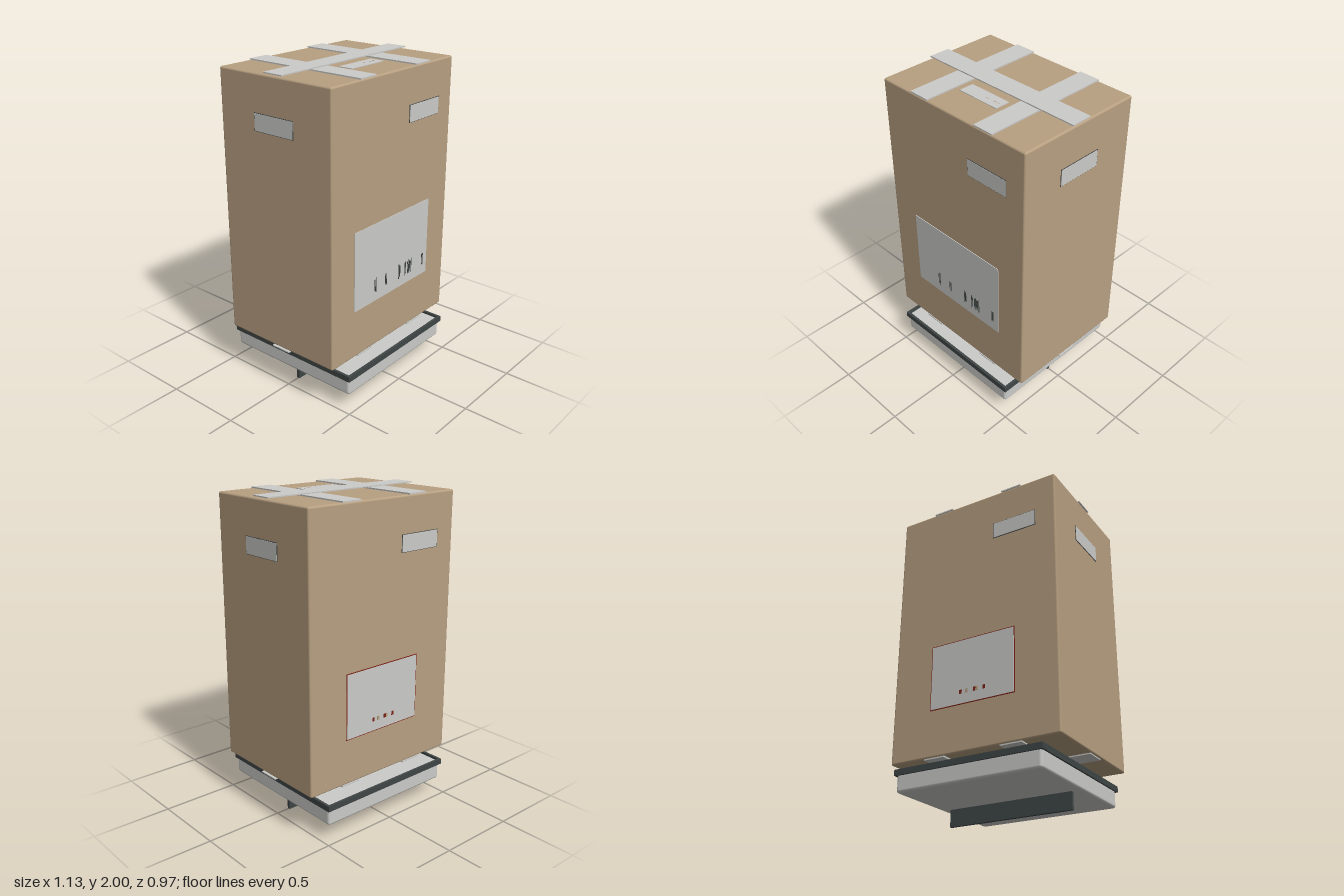
import * as THREE from 'three';
import { RoundedBoxGeometry } from 'three/addons/geometries/RoundedBoxGeometry.js';

const material = (name, color) => {
  const m = new THREE.MeshStandardMaterial({ color });
  m.name = name;
  return m;
};

export function createModel() {
  const group = new THREE.Group();
  const cardboard = material('cardboard', 0xb8a081);
  const paper = material('paper grey', 0xcbcbc9);
  const dark = material('charcoal', 0x3f4645);
  const red = material('dark red', 0x7d2015);

  const add = (parent, name, geometry, mat, x = 0, y = 0, z = 0) => {
    const mesh = new THREE.Mesh(geometry, mat);
    mesh.name = name;
    mesh.position.set(x, y, z);
    parent.add(mesh);
    return mesh;
  };
  const box = (parent, name, mat, w, h, d, x, y, z) =>
    add(parent, name, new THREE.BoxGeometry(w, h, d), mat, x, y, z);

  // Carton
  const W = 1.126, D = 0.842, BOTTOM = 0.298, TOP = 1.985;
  add(group, 'carton', new RoundedBoxGeometry(W, TOP - BOTTOM, D, 3, 0.012), cardboard, 0, (TOP + BOTTOM) / 2, 0);

  // Crossed tape on the top and the bottom
  for (const [name, y, dir] of [['top', TOP, 1], ['bottom', BOTTOM, -1]]) {
    for (const x of [-0.254, 0.254]) {
      box(group, name + 'TapeStrip', paper, 0.138, 0.008, D, x, y + dir * 0.004, 0);
    }
    box(group, name + 'CrossTape', paper, W, 0.007, 0.136, 0, y + dir * 0.0115, 0);
  }

  // One group per wall, turned so that its local +z points outwards
  const wall = (name, angle) => {
    const g = new THREE.Group();
    g.name = name;
    g.rotation.y = angle;
    group.add(g);
    return g;
  };
  const front = wall('frontLabels', 0);
  const back = wall('backLabels', Math.PI);
  const left = wall('leftLabels', Math.PI / 2);
  const right = wall('rightLabels', -Math.PI / 2);

  // Small upper labels with dark edges
  for (const [parent, x, z] of [[front, 0.279, D / 2], [back, 0.279, D / 2], [left, 0, W / 2], [right, 0, W / 2]]) {
    box(parent, 'smallLabelBacking', dark, 0.297, 0.108, 0.003, x, 1.707, z + 0.0012);
    box(parent, 'smallLabel', paper, 0.291, 0.102, 0.003, x, 1.707, z + 0.003);
  }

  // Large shipping label with its bars
  box(front, 'shippingLabel', paper, 0.73, 0.505, 0.004, -0.001, 0.862, D / 2 + 0.002);
  const bars = [-0.174, -0.163, -0.07, -0.059, 0.066, 0.073, 0.079, 0.131, 0.14, 0.157, 0.166, 0.175, 0.184, 0.196, 0.311, 0.321];
  bars.forEach((x, i) => {
    box(front, 'labelBar', dark, 0.005, i % 3 === 1 ? 0.1 : 0.076, 0.002, x, 0.715, D / 2 + 0.0045);
  });

  // Red-edged label on the back with small marks
  box(back, 'backLabelBorder', red, 0.576, 0.416, 0.003, -0.006, 0.795, D / 2 + 0.0012);
  box(back, 'backLabel', paper, 0.566, 0.406, 0.003, -0.006, 0.795, D / 2 + 0.003);
  [-0.08, -0.04, 0.015, 0.03, 0.08].forEach((x, i) => {
    box(back, 'backLabelMark', i % 2 ? cardboard : red, 0.018, 0.025, 0.002, x, 0.665, D / 2 + 0.005);
  });

  // Top label with a row of tiny marks
  box(group, 'topLabel', paper, 0.29, 0.004, 0.098, -0.001, TOP + 0.002, 0.166);
  for (const x of [0.02, 0.035, 0.08, 0.09, 0.1, 0.115]) {
    box(group, 'topLabelMark', cardboard, 0.004, 0.001, 0.01, x, TOP + 0.0043, 0.167);
  }

  // Tray below the carton
  add(group, 'tray', new RoundedBoxGeometry(0.946, 0.127, 0.946, 4, 0.018), paper, 0, 0.1695, 0);

  // Dark frame around the tray's upper edge
  const square = (Type, r) => new Type([[-r, -r], [r, -r], [r, r], [-r, r]].map(([x, y]) => new THREE.Vector2(x, y)));
  const rimShape = square(THREE.Shape, 0.484);
  rimShape.holes.push(square(THREE.Path, 0.467));
  const rimGeometry = new THREE.ExtrudeGeometry(rimShape, { depth: 0.036, bevelEnabled: false });
  rimGeometry.rotateX(-Math.PI / 2);
  add(group, 'trayRim', rimGeometry, dark, 0, 0.208, 0);

  // Upright fin and small tab under the tray
  box(group, 'fin', dark, 0.822, 0.112, 0.02, 0, 0.056, 0);
  box(group, 'underTab', cardboard, 0.06, 0.01, 0.02, 0.31, 0.103, 0.043);

  return group;
}
